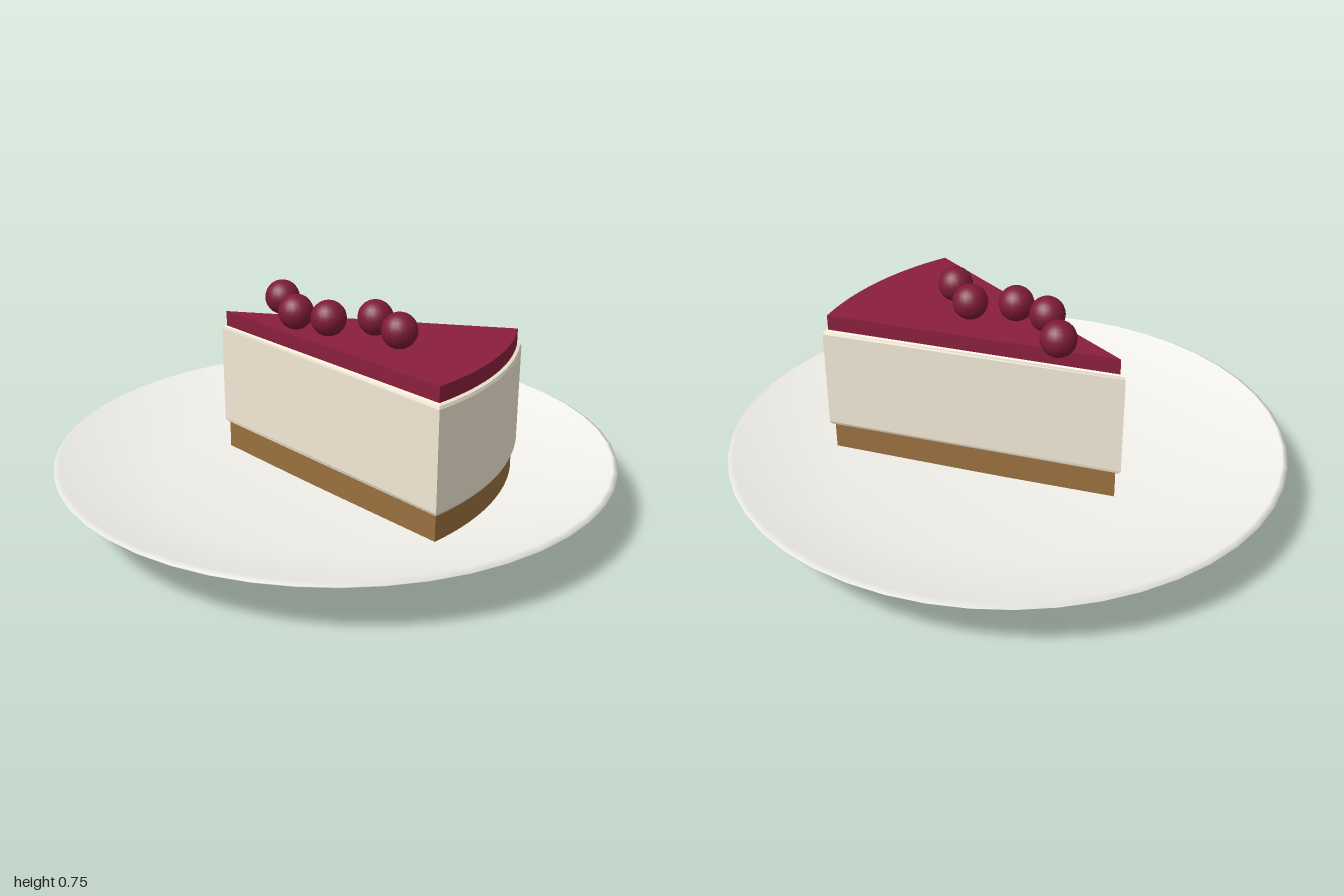
import * as THREE from 'three';

const mat = (color) => new THREE.MeshStandardMaterial({ color });

// Pie-slice outline: tip at the origin, opening towards +x
function wedgeShape(radius, halfAngle) {
  const shape = new THREE.Shape();
  shape.moveTo(0, 0);
  shape.lineTo(radius * Math.cos(halfAngle), -radius * Math.sin(halfAngle));
  shape.absarc(0, 0, radius, -halfAngle, halfAngle, false);
  shape.lineTo(0, 0);
  return shape;
}

// One horizontal layer of the slice between two heights, with an optional rounded edge
function layer(name, bottom, top, color, bevel = 0) {
  const geometry = new THREE.ExtrudeGeometry(wedgeShape(1.06, Math.PI / 10), {
    depth: top - bottom - 2 * bevel,
    curveSegments: 14,
    bevelEnabled: bevel > 0,
    bevelSize: bevel,
    bevelThickness: bevel,
    bevelSegments: 2,
  });
  geometry.rotateX(-Math.PI / 2);
  const mesh = new THREE.Mesh(geometry, mat(color));
  mesh.name = name;
  mesh.position.set(-0.46, bottom + bevel, 0);
  return mesh;
}

export function createModel() {
  const model = new THREE.Group();
  model.name = 'cakeSliceOnPlate';

  // Plate: flat foot, flared wall, thin rim, shallow well
  const profile = [
    [0, 0], [0.62, 0], [0.66, 0.06], [0.99, 0.18],
    [1, 0.19], [0.98, 0.2], [0.64, 0.095], [0, 0.09],
  ].map(([x, y]) => new THREE.Vector2(x, y));
  const plate = new THREE.Mesh(new THREE.LatheGeometry(profile, 48), mat(0xf2f0ea));
  plate.name = 'plate';
  model.add(plate);

  // Cake slice
  const slice = new THREE.Group();
  slice.name = 'cakeSlice';
  slice.add(
    layer('crust', 0.09, 0.2, 0x9a7040),
    layer('filling', 0.19, 0.575, 0xf2e8d5, 0.015),
    layer('glaze', 0.575, 0.63, 0x8a1f3d),
  );
  model.add(slice);

  // Berries scattered along the slice
  const berries = new THREE.Group();
  berries.name = 'berries';
  const berryGeometry = new THREE.SphereGeometry(0.063, 20, 14);
  const berryMaterial = mat(0x7d1a38);
  [-0.092, 0.041, 0.05, -0.035, 0.055].forEach((z, i) => {
    const berry = new THREE.Mesh(berryGeometry, berryMaterial);
    berry.name = `berry${i + 1}`;
    berry.position.set((i - 2) * 0.137, 0.688, z);
    berries.add(berry);
  });
  model.add(berries);

  return model;
}
